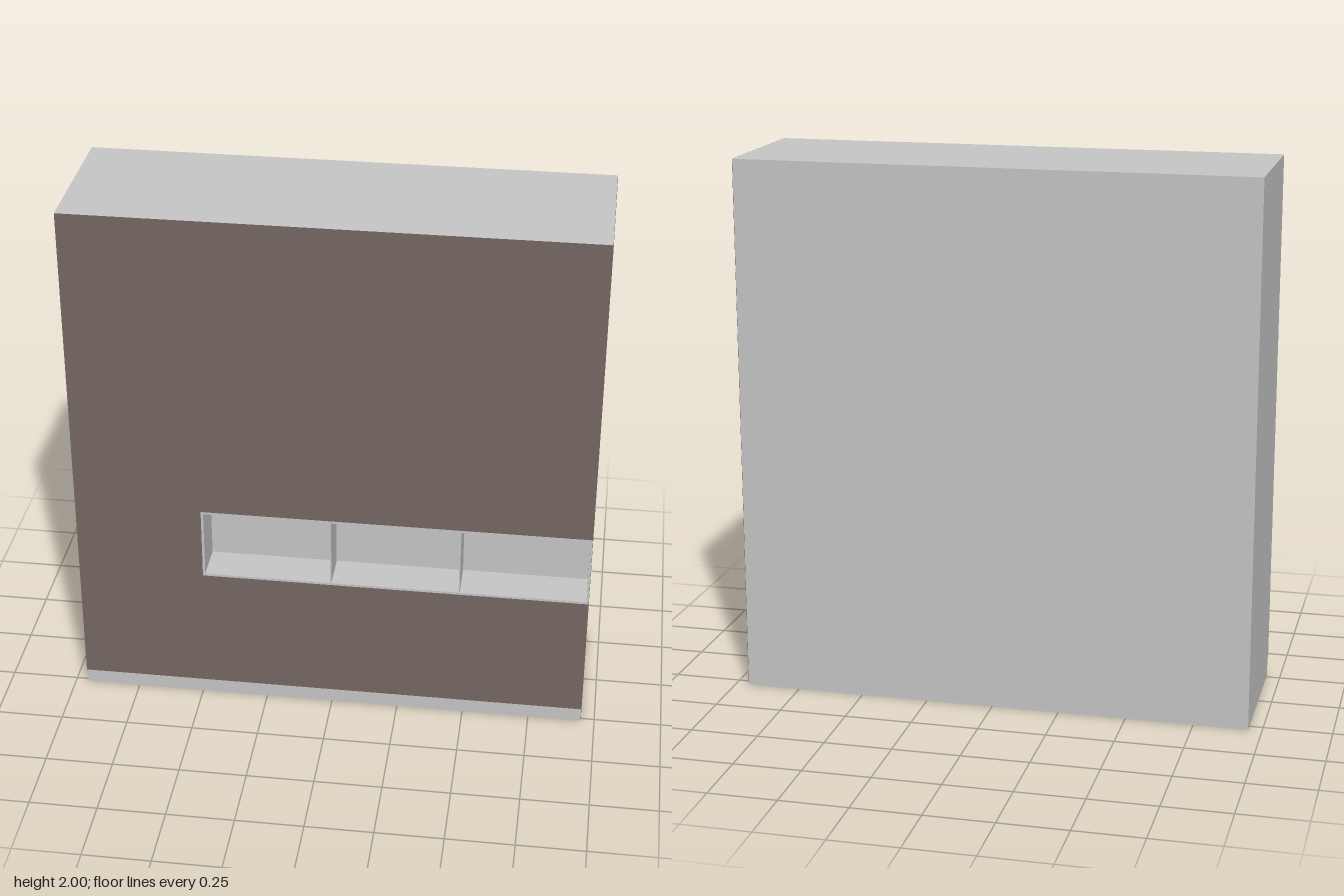
import * as THREE from 'three';

const W = 0.95, H = 2, D = 0.285;          // half width, height, half depth
const KICK_H = 0.07, KICK_Z = 0.265;       // recessed plinth
const NICHE = { x0: -0.48, y0: 0.55, y1: 0.83, depth: 0.15, rim: 0.009 };
const SKIN = 0.001;                        // side veneer thickness

const polygon = (pts, Type = THREE.Shape) => new Type(pts.map(([x, y]) => new THREE.Vector2(x, y)));
const rect = (x0, y0, x1, y1) => [[x0, y0], [x1, y0], [x1, y1], [x0, y1]];

export function createModel() {
  const group = new THREE.Group();
  const grey = new THREE.MeshStandardMaterial({ name: 'greyCarcass', color: 0xc8c8c8 });
  const brown = new THREE.MeshStandardMaterial({ name: 'brownFront', color: 0x766862 });

  const add = (name, geometry, material) => {
    const mesh = new THREE.Mesh(geometry, material);
    mesh.name = name;
    group.add(mesh);
    return mesh;
  };
  const box = (name, x0, x1, y0, y1, z0, z1) => add(name,
    new THREE.BoxGeometry(x1 - x0, y1 - y0, z1 - z0)
      .translate((x0 + x1) / 2, (y0 + y1) / 2, (z0 + z1) / 2), grey);

  const right = W - SKIN, nicheBack = D - NICHE.depth;

  // Rear carcass and recessed plinth
  box('carcass', -W, right, KICK_H, H, -D, nicheBack);
  box('plinth', -W, right, 0, KICK_H, -D, KICK_Z);

  // Front section, notched for the niche: brown face, grey edges
  const front = polygon([
    [-W, KICK_H], [right, KICK_H], [right, NICHE.y0], [NICHE.x0, NICHE.y0],
    [NICHE.x0, NICHE.y1], [right, NICHE.y1], [right, H], [-W, H],
  ]);
  add('frontPanel', new THREE.ExtrudeGeometry(front, { depth: NICHE.depth, bevelEnabled: false })
    .translate(0, 0, nicheBack), [brown, grey]);

  // Open shelf niche: a rim with three compartments
  const frame = polygon(rect(NICHE.x0, NICHE.y0, right, NICHE.y1));
  const stops = [NICHE.x0 + NICHE.rim, 0, 0.475, W - NICHE.rim];
  const half = 0.002;
  for (let i = 0; i < 3; i++) {
    const a = stops[i] + (i > 0 ? half : 0);
    const b = stops[i + 1] - (i < 2 ? half : 0);
    frame.holes.push(polygon(rect(a, NICHE.y0 + NICHE.rim, b, NICHE.y1 - NICHE.rim), THREE.Path));
  }
  add('nicheShelf', new THREE.ExtrudeGeometry(frame, { depth: NICHE.depth, bevelEnabled: false })
    .translate(0, 0, nicheBack), grey);

  // Brown veneer on the model's left end, following the plinth recess
  const side = polygon([
    [-KICK_Z, 0], [D, 0], [D, H], [-D, H], [-D, KICK_H], [-KICK_Z, KICK_H],
  ]);
  add('sideVeneer', new THREE.ExtrudeGeometry(side, { depth: SKIN, bevelEnabled: false })
    .rotateY(Math.PI / 2).translate(right, 0, 0), brown);

  return group;
}
